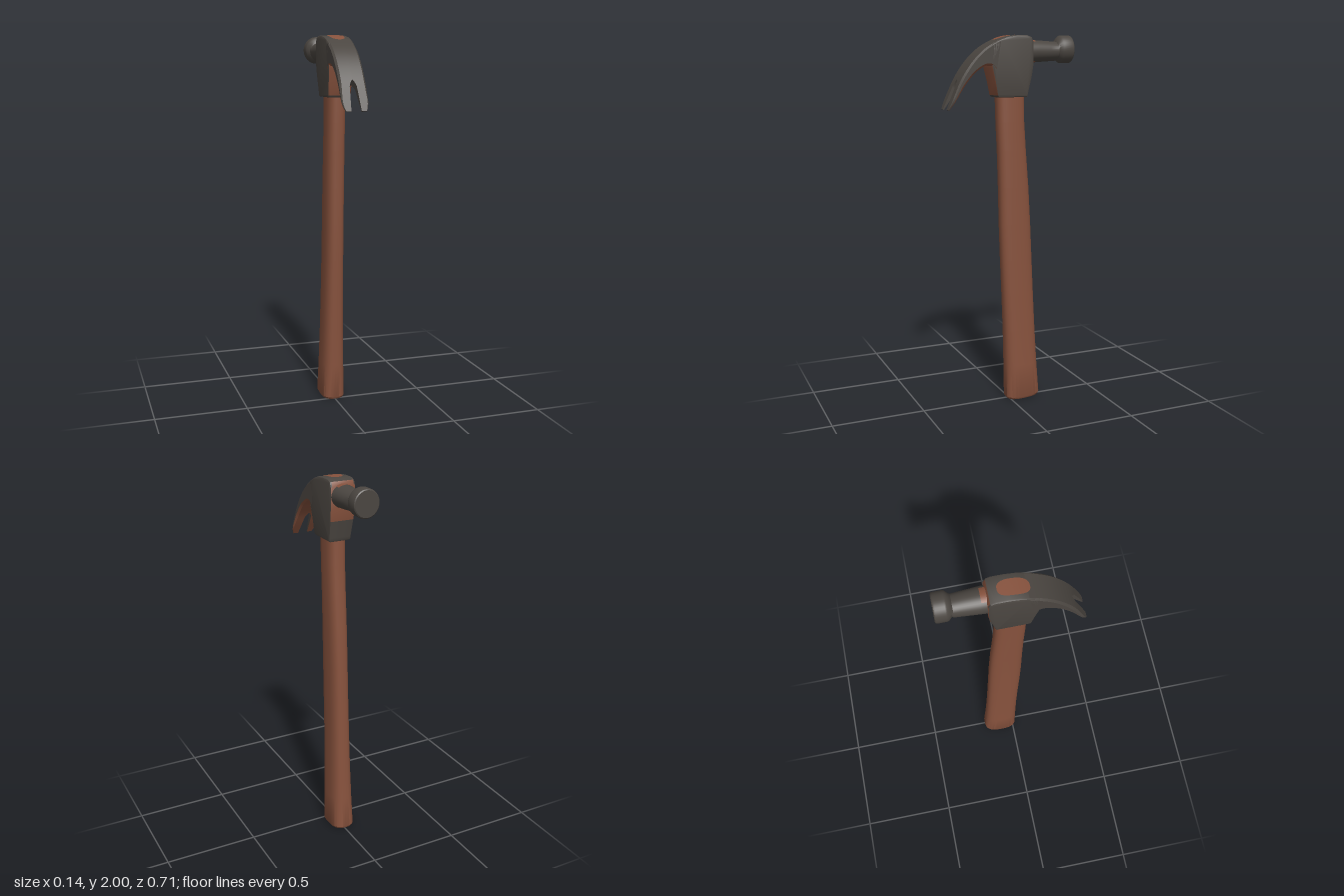
import * as THREE from 'three';
import { toCreasedNormals } from 'three/addons/utils/BufferGeometryUtils.js';

const steel = new THREE.MeshStandardMaterial({ color: 0x4b4641 });
steel.name = 'dark steel';
const wood = new THREE.MeshStandardMaterial({ color: 0x87523d });
wood.name = 'brown wood';

// Smooth normals with sharp edges kept (scaled up so small details stay distinct)
function crease(geo, angle = 0.6) {
  geo.scale(50, 50, 50);
  const out = toCreasedNormals(geo, angle);
  return out.scale(0.02, 0.02, 0.02);
}

function addMesh(group, name, geo, material) {
  const mesh = new THREE.Mesh(geo, material);
  mesh.name = name;
  group.add(mesh);
}

// Non-indexed geometry from steel and wood triangle corners
function twoTone(steelPts, woodPts) {
  const geo = new THREE.BufferGeometry().setFromPoints([...steelPts, ...woodPts]);
  geo.addGroup(0, steelPts.length, 0);
  geo.addGroup(steelPts.length, woodPts.length, 1);
  return crease(geo);
}

const superEllipse = (a, n) => {
  const c = Math.cos(a), s = Math.sin(a);
  return [Math.sign(c) * Math.abs(c) ** (2 / n), Math.sign(s) * Math.abs(s) ** (2 / n)];
};

// Handle: rounded sections, each [y, front z, back z, half width]
function handleGeometry() {
  const rows = [
    [0.0, 0.012, -0.168, 0.06], [0.012, 0.02, -0.175, 0.067], [0.2, 0.024, -0.162, 0.061],
    [0.4, 0.029, -0.15, 0.056], [0.6, 0.037, -0.14, 0.053], [0.8, 0.046, -0.131, 0.051],
    [1.0, 0.053, -0.122, 0.05], [1.2, 0.057, -0.11, 0.05], [1.4, 0.063, -0.094, 0.05],
    [1.55, 0.07, -0.084, 0.05], [1.72, 0.075, -0.08, 0.05],
  ];
  const geo = new THREE.CylinderGeometry(1, 1, 1, 32, rows.length - 1);
  const p = geo.attributes.position;
  for (let i = 0; i < p.count; i++) {
    const [y, zf, zb, hw] = rows[Math.round((p.getY(i) + 0.5) * (rows.length - 1))];
    const r = Math.hypot(p.getX(i), p.getZ(i));
    const [sx, sz] = superEllipse(Math.atan2(p.getZ(i), p.getX(i)), 2.8);
    const z = (zf + zb) / 2 + r * sz * (zf - zb) / 2;
    const tilt = y < 0.1 ? (0.02 - z) * 0.06 : 0; // slightly slanted butt
    p.setXYZ(i, r * sx * hw, y + tilt, z);
  }
  return crease(geo);
}

// Head block: bevelled side profile (z, y), wood-toned on the front and behind the neck
function blockGeometry() {
  const outline = [
    [-0.083, 1.68], [0.08, 1.68], [0.087, 1.69], [0.103, 1.77], [0.118, 1.83], [0.125, 1.87],
    [0.118, 1.954], [0.07, 1.978], [0.03, 1.991], [-0.02, 1.998], [-0.08, 1.998], [-0.105, 1.988],
    [-0.116, 1.965], [-0.116, 1.85], [-0.108, 1.79], [-0.088, 1.7], [-0.086, 1.685],
  ];
  const shape = new THREE.Shape(outline.map(([z, y]) => new THREE.Vector2(z, y)));
  let geo = new THREE.ExtrudeGeometry(shape, {
    depth: 0.12, bevelEnabled: true, bevelThickness: 0.01, bevelSize: 0.01, bevelOffset: -0.01, bevelSegments: 2,
  });
  geo.translate(0, 0, -0.06).rotateY(-Math.PI / 2);
  if (geo.index) geo = geo.toNonIndexed();
  const p = geo.attributes.position, steelPts = [], woodPts = [];
  for (let i = 0; i < p.count; i += 3) {
    const tri = [0, 1, 2].map(k => new THREE.Vector3().fromBufferAttribute(p, i + k));
    const n = new THREE.Triangle(...tri).getNormal(new THREE.Vector3());
    const y = (tri[0].y + tri[1].y + tri[2].y) / 3;
    const isWood = (n.z > 0.85 && y < 1.87) || (n.z < -0.85 && y > 1.8);
    for (const v of tri) if (v.y < 1.85) v.x *= 1 - 0.12 * (1.85 - v.y) / 0.17; // taper to the socket
    (isWood ? woodPts : steelPts).push(...tri);
  }
  return twoTone(steelPts, woodPts);
}

// Claw: one half lofted between the upper and lower curves; side is +1 or -1
const curve = pts => new THREE.SplineCurve(pts.map(([z, y]) => new THREE.Vector2(z, y)));
const clawTop = curve([
  [0.07, 1.978], [0.12, 1.953], [0.164, 1.924], [0.207, 1.885],
  [0.25, 1.833], [0.29, 1.77], [0.325, 1.695], [0.357, 1.622],
]);
const clawUnder = curve([
  [0.095, 1.82], [0.12, 1.842], [0.15, 1.844], [0.185, 1.827],
  [0.222, 1.797], [0.268, 1.742], [0.31, 1.68], [0.352, 1.619],
]);

function clawGeometry(side) {
  const steps = 64, sections = [];
  const clamp = v => THREE.MathUtils.clamp(v, 0, 1);
  for (let i = 0; i <= steps; i++) {
    const a = clawTop.getPoint(i / steps), b = clawUnder.getPoint(i / steps), z = a.x;
    const inner = 0.018 * Math.sqrt(clamp((z - 0.289) / 0.014)) + 0.009 * clamp((z - 0.3) / 0.057);
    const outer = 0.07 - 0.015 * clamp((z - 0.33) / 0.027) ** 2;
    const c = Math.min(0.01, a.distanceTo(b) * 0.3), f = c / a.distanceTo(b);
    const at = (x, t) => {
      const q = a.clone().lerp(b, t);
      return new THREE.Vector3(side * x, q.y, q.x);
    };
    sections.push([at(inner, 0), at(outer - c, 0), at(outer, f), at(outer, 1 - f), at(outer - c, 1), at(inner, 1)]);
  }
  const steelPts = [], woodPts = [];
  const tri = (list, a, b, c) => list.push(...(side > 0 ? [a, c, b] : [a, b, c]));
  for (let i = 0; i < steps; i++) {
    for (let j = 0; j < 6; j++) {
      const k = (j + 1) % 6, s = sections[i], n = sections[i + 1];
      const list = j === 3 || j === 4 ? woodPts : steelPts; // underside is wood-toned
      tri(list, s[j], s[k], n[k]);
      tri(list, s[j], n[k], n[j]);
    }
  }
  const tip = sections[steps];
  for (let j = 1; j < 5; j++) tri(steelPts, tip[0], tip[j], tip[j + 1]);
  return twoTone(steelPts, woodPts);
}

// Neck and striking face, turned around the z axis
function pollGeometry() {
  const profile = [
    [0.06, 0.1], [0.0575, 0.15], [0.053, 0.22], [0.05, 0.268], [0.055, 0.276], [0.071, 0.292],
    [0.073, 0.3], [0.073, 0.344], [0.071, 0.351], [0.066, 0.355], [0, 0.355],
  ];
  const geo = new THREE.LatheGeometry(profile.map(q => new THREE.Vector2(...q)), 40);
  geo.rotateX(-Math.PI / 2);
  const p = geo.attributes.position;
  for (let i = 0; i < p.count; i++) {
    const neck = p.getZ(i) > -0.27;
    p.setX(i, p.getX(i) * (neck ? 1.1 : 0.97));
    p.setY(i, p.getY(i) + (neck ? 1.916 : 1.926));
  }
  return crease(geo);
}

// Wood end showing in the eye, following the crown of the head
function eyeGeometry() {
  const geo = new THREE.RingGeometry(0.001, 1, 40, 8);
  const p = geo.attributes.position;
  for (let i = 0; i < p.count; i++) {
    const r = Math.hypot(p.getX(i), p.getY(i));
    const [sx, sz] = superEllipse(Math.atan2(p.getY(i), p.getX(i)), 2.7);
    const z = 0.01 - r * sz * 0.075;
    const drop = z > -0.02 ? 1.7 * (z + 0.02) ** 2 + 0.05 * (z + 0.02) : 0;
    p.setXYZ(i, r * sx * 0.041, 2.0 - drop, z);
  }
  geo.computeVertexNormals();
  return geo;
}

// Thin wood-toned patch on the neck root, above or below
function neckPatchGeometry(side) {
  const geo = new THREE.CylinderGeometry(0.0595, 0.061, 0.028, 16, 1, true, -0.6, 1.2);
  geo.rotateX(-Math.PI / 2);
  if (side < 0) geo.rotateZ(Math.PI);
  // the open arc is centred on the vertical axis
  return geo.scale(1.1, 1, 1).translate(0, 1.916, -0.126);
}

export function createModel() {
  const model = new THREE.Group();
  model.name = 'clawHammer';
  addMesh(model, 'handle', handleGeometry(), wood);

  const head = new THREE.Group();
  head.name = 'head';
  model.add(head);
  addMesh(head, 'headBlock', blockGeometry(), [steel, wood]);
  addMesh(head, 'leftClaw', clawGeometry(1), [steel, wood]);
  addMesh(head, 'rightClaw', clawGeometry(-1), [steel, wood]);
  addMesh(head, 'neckAndStrikingFace', pollGeometry(), steel);
  addMesh(head, 'handleEndInEye', eyeGeometry(), wood);
  addMesh(head, 'upperNeckPatch', neckPatchGeometry(1), wood);
  addMesh(head, 'lowerNeckPatch', neckPatchGeometry(-1), wood);
  return model;
}
